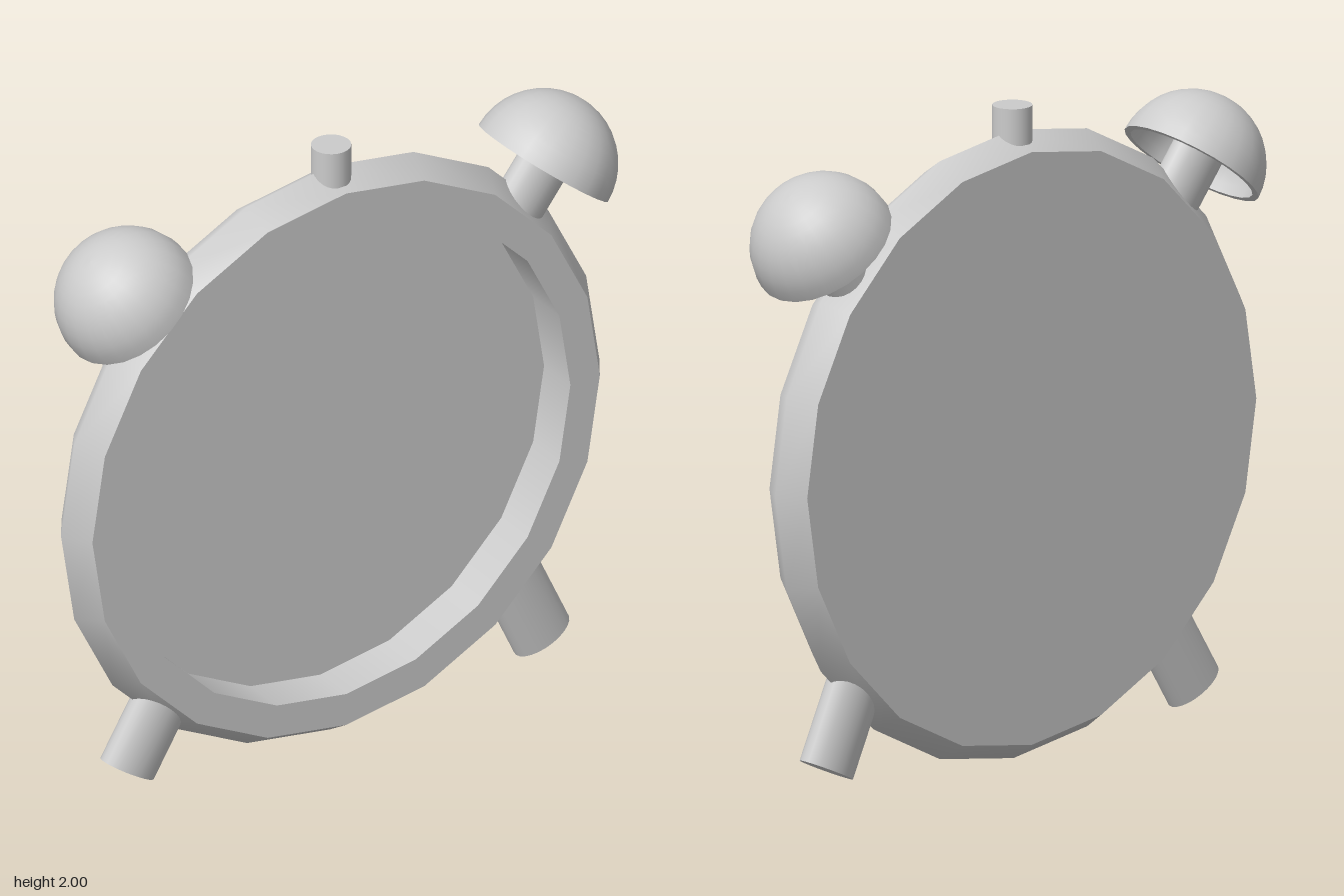
import * as THREE from 'three';

const material = new THREE.MeshStandardMaterial({ color: 0xcccccc, side: THREE.DoubleSide });
const CENTRE = new THREE.Vector3(-0.01, 0.965, 0);

function addMesh(parent, name, geometry) {
  const mesh = new THREE.Mesh(geometry, material);
  mesh.name = name;
  parent.add(mesh);
  return mesh;
}

// Ring surface turned about the z axis from [radius, z] pairs
function turned(profile) {
  const points = profile.map(([r, z]) => new THREE.Vector2(r, z));
  return new THREE.LatheGeometry(points, 20).rotateX(Math.PI / 2);
}

// Oval peg standing on a point and leaning in the xy plane
function addPeg(parent, name, [x, y], [dx, dy], length, rx, rz) {
  const geometry = new THREE.CylinderGeometry(1, 1, length, 24);
  geometry.scale(rx, 1, rz).translate(0, length / 2, 0);
  const mesh = addMesh(parent, name, geometry);
  mesh.position.set(x, y, 0);
  mesh.rotation.z = Math.atan2(-dx, dy);
  return mesh;
}

export function createModel() {
  const clock = new THREE.Group();
  clock.name = 'alarmClock';

  // Round case: separate surfaces keep the edges between them sharp
  const body = new THREE.Group();
  body.name = 'case';
  body.position.copy(CENTRE);
  clock.add(body);
  addMesh(body, 'backPlate', turned([[0, -0.085], [0.905, -0.085]]));
  addMesh(body, 'outerRim', turned([[0.905, -0.085], [0.96, -0.005], [0.905, 0.08]]));
  addMesh(body, 'frontBezel', turned([[0.905, 0.08], [0.8, 0.08]]));
  addMesh(body, 'innerWall', turned([[0.8, 0.08], [0.8, -0.06]]));
  addMesh(body, 'dialFace', turned([[0.8, -0.06], [0, -0.06]]));

  // Button on top
  addPeg(clock, 'topButton', [-0.01, 1.86], [0, 1], 0.14, 0.06, 0.06);

  // Feet, splayed a little differently on each side
  addPeg(clock, 'rightFoot', [-0.738, 0.104], [0.52, 0.85], 0.27, 0.1, 0.063);
  addPeg(clock, 'leftFoot', [0.74, 0.095], [-0.42, 0.9], 0.28, 0.1, 0.063);

  // Hollow bell domes on stems
  const R = 0.223, WALL = 0.02;
  const shell = [];
  for (let i = 0; i <= 10; i++) {
    const a = (i / 10) * Math.PI / 2;
    shell.push([Math.cos(a), Math.sin(a)]);
  }
  const dome = (r) => shell.map(([c, s]) => new THREE.Vector2(r * c, r * s));
  for (const [side, x, sign] of [['right', -0.732, -1], ['left', 0.747, 1]]) {
    const bell = new THREE.Group();
    bell.name = side + 'Bell';
    bell.position.set(x, 1.697, 0);
    bell.rotation.z = -sign * 0.665;
    clock.add(bell);
    addMesh(bell, 'bellOuter', new THREE.LatheGeometry(dome(R), 24));
    addMesh(bell, 'bellInner', new THREE.LatheGeometry(dome(R - WALL).reverse(), 24));
    addMesh(bell, 'bellLip', new THREE.RingGeometry(R - WALL, R, 24).rotateX(Math.PI / 2));
    addPeg(bell, 'bellStem', [0, -0.18], [0, 1], 0.34, 0.093, 0.063);
  }

  return clock;
}
